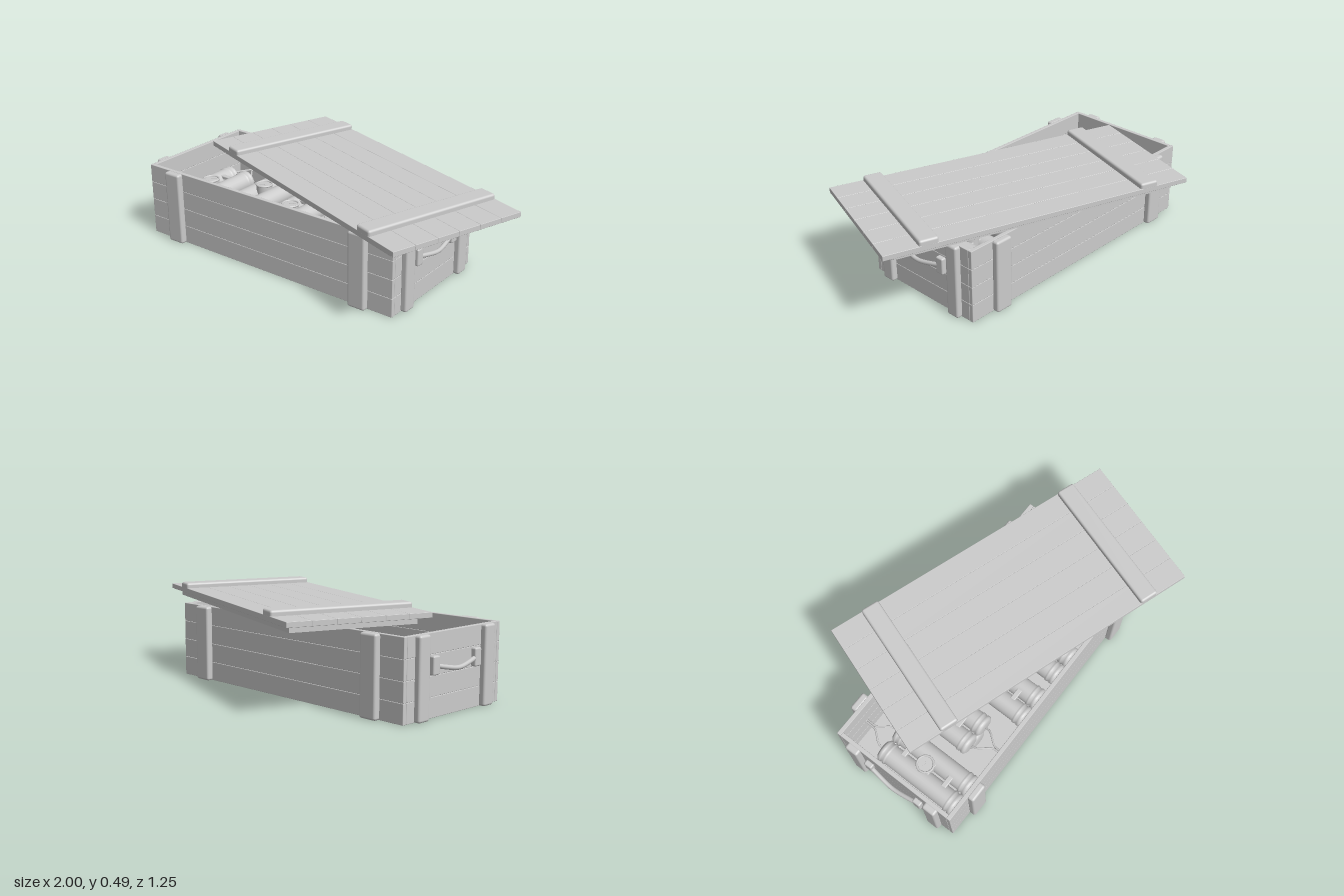
import * as THREE from 'three';
import { RoundedBoxGeometry } from 'three/addons/geometries/RoundedBoxGeometry.js';

const mat = new THREE.MeshStandardMaterial({ color: 0xcccccc });

function add(parent, name, geo, x = 0, y = 0, z = 0) {
  const m = new THREE.Mesh(geo, mat);
  m.name = name;
  m.position.set(x, y, z);
  parent.add(m);
  return m;
}
const board = (w, h, d, r = 0.003, seg = 1) => new RoundedBoxGeometry(w, h, d, seg, r);

// Flat rectangular ring lying in xz, from y = 0 up to h
function ringGeometry(hx, hz, ix, iz, h) {
  const rect = (S, a, b) => {
    const s = new S();
    s.moveTo(-a, -b); s.lineTo(a, -b); s.lineTo(a, b); s.lineTo(-a, b); s.closePath();
    return s;
  };
  const shape = rect(THREE.Shape, hx, hz);
  shape.holes.push(rect(THREE.Path, ix, iz));
  return new THREE.ExtrudeGeometry(shape, { depth: h, bevelEnabled: false }).rotateX(-Math.PI / 2);
}

const HX = 0.795, HZ = 0.355, H = 0.4, T = 0.022;

function createHandle() {
  const g = new THREE.Group();
  g.name = 'handle';
  for (const s of [-1, 1]) {
    add(g, 'handleBlock', board(0.03, 0.09, 0.047, 0.008, 2), 0.012, 0.25, s * 0.155);
  }
  const curve = new THREE.CatmullRomCurve3([
    [0.012, 0.25, -0.155], [0.02, 0.237, -0.1], [0.029, 0.222, 0], [0.02, 0.237, 0.1], [0.012, 0.25, 0.155],
  ].map((p) => new THREE.Vector3(...p)));
  add(g, 'handleGrip', new THREE.TubeGeometry(curve, 24, 0.0115, 10));
  return g;
}

function createCrate() {
  const g = new THREE.Group();
  g.name = 'crate';
  const ph = H / 4;
  for (const s of [-1, 1]) {
    for (let i = 0; i < 4; i++) {
      const y = ph * (i + 0.5);
      add(g, 'sidePlank', board(HX * 2, ph, T), 0, y, s * (HZ - T / 2));
      add(g, 'endPlank', board(T, ph, HZ * 2 - T * 2), s * (HX - T / 2), y, 0);
    }
    for (const t of [-1, 1]) {
      add(g, 'sideBatten', board(0.1, H, 0.04, 0.012, 3), t * 0.605, H / 2, s * (HZ + 0.014));
      add(g, 'endBatten', board(0.04, H, 0.075, 0.012, 3), s * (HX + 0.011), H / 2, t * 0.242);
    }
    const handle = createHandle();
    handle.position.x = s * HX;
    if (s < 0) handle.rotation.y = Math.PI;
    g.add(handle);
  }
  // Base: frame with a recessed panel
  add(g, 'baseFrame', ringGeometry(HX - T, HZ - T, 0.685, 0.245, 0.025));
  add(g, 'floor', new THREE.BoxGeometry((HX - T) * 2, 0.006, (HZ - T) * 2), 0, 0.027, 0);
  return g;
}

function createLid() {
  const g = new THREE.Group();
  g.name = 'lid';
  const L = 1.67, W = 0.754, n = 6;
  for (let i = 0; i < n; i++) {
    add(g, 'lidPlank', board(L, 0.027, W / n, 0.002), 0, 0.4485, (i + 0.5) * W / n - W / 2);
  }
  for (const s of [-1, 1]) {
    add(g, 'lidBatten', board(0.1, 0.04, W, 0.012, 3), s * 0.605, 0.47, 0);
  }
  add(g, 'lidRim', ringGeometry(0.768, 0.335, 0.735, 0.302, 0.036), 0, 0.4, 0);
  return g;
}

// Three tubes bound together, with a round timer on top and a forked wire
function createBundle() {
  const g = new THREE.Group();
  g.name = 'tubeBundle';
  const r = 0.055, half = 0.242, topY = 0.188;
  const profile = [
    [0, -half], [0.046, -half], [0.053, -half + 0.006], [0.06, -half + 0.012], [0.06, -half + 0.024],
    [r, -half + 0.03], [0.06, -half + 0.042], [0.06, -half + 0.05], [r, -half + 0.056],
  ];
  const full = [...profile, ...profile.slice().reverse().map(([a, b]) => [a, -b])];
  const tube = new THREE.LatheGeometry(full.map((p) => new THREE.Vector2(...p)), 24).rotateX(Math.PI / 2);
  for (const [x, y] of [[-0.06, topY], [0.06, topY], [0, 0.09]]) add(g, 'tube', tube, x, y, 0);
  // Cross straps
  for (const z of [-0.13, 0.02, 0.13]) {
    add(g, 'strap', board(0.08, 0.02, 0.028, 0.005, 2), 0, topY + 0.037, z);
  }
  // Timer
  add(g, 'timerCase', new THREE.CylinderGeometry(0.045, 0.045, 0.06, 28), 0, topY + 0.04, -0.008);
  add(g, 'timerRim', new THREE.TorusGeometry(0.043, 0.006, 8, 28).rotateX(Math.PI / 2), 0, topY + 0.07, -0.008);
  const hand = (len, a) => {
    const m = add(g, 'timerHand', new THREE.BoxGeometry(0.005, 0.004, len).translate(0, 0, -len / 2), 0, topY + 0.071, -0.008);
    m.rotation.y = a;
  };
  hand(0.03, -0.7);
  hand(0.018, 0.9);
  // Wires
  const wire = (pts) => add(g, 'wire', new THREE.TubeGeometry(
    new THREE.CatmullRomCurve3(pts.map((p) => new THREE.Vector3(...p))), 20, 0.005, 6));
  for (const s of [-1, 1]) {
    wire([[s * 0.06, topY, -0.235], [s * 0.055, topY + 0.01, -0.275], [s * 0.025, topY + 0.015, -0.315],
      [s * 0.008, topY + 0.015, -0.34], [s * 0.005, topY + 0.015, -0.4]]);
  }
  return g;
}

export function createModel() {
  const root = new THREE.Group();
  root.name = 'openCrate';

  const crate = createCrate();
  crate.position.set(-0.165, 0, 0.077);
  root.add(crate);

  // Row of bundles, some turned end for end
  for (let i = 0; i < 5; i++) {
    const b = createBundle();
    const flip = i === 1 || i === 4;
    b.position.set(-0.797 + i * 0.287, 0, flip ? 0.01 : 0.147);
    if (flip) b.rotation.y = Math.PI;
    root.add(b);
  }

  // Lid lying askew across the top
  const lid = createLid();
  lid.position.set(0.088, 0, -0.004);
  lid.rotation.y = -0.33;
  root.add(lid);
  return root;
}
